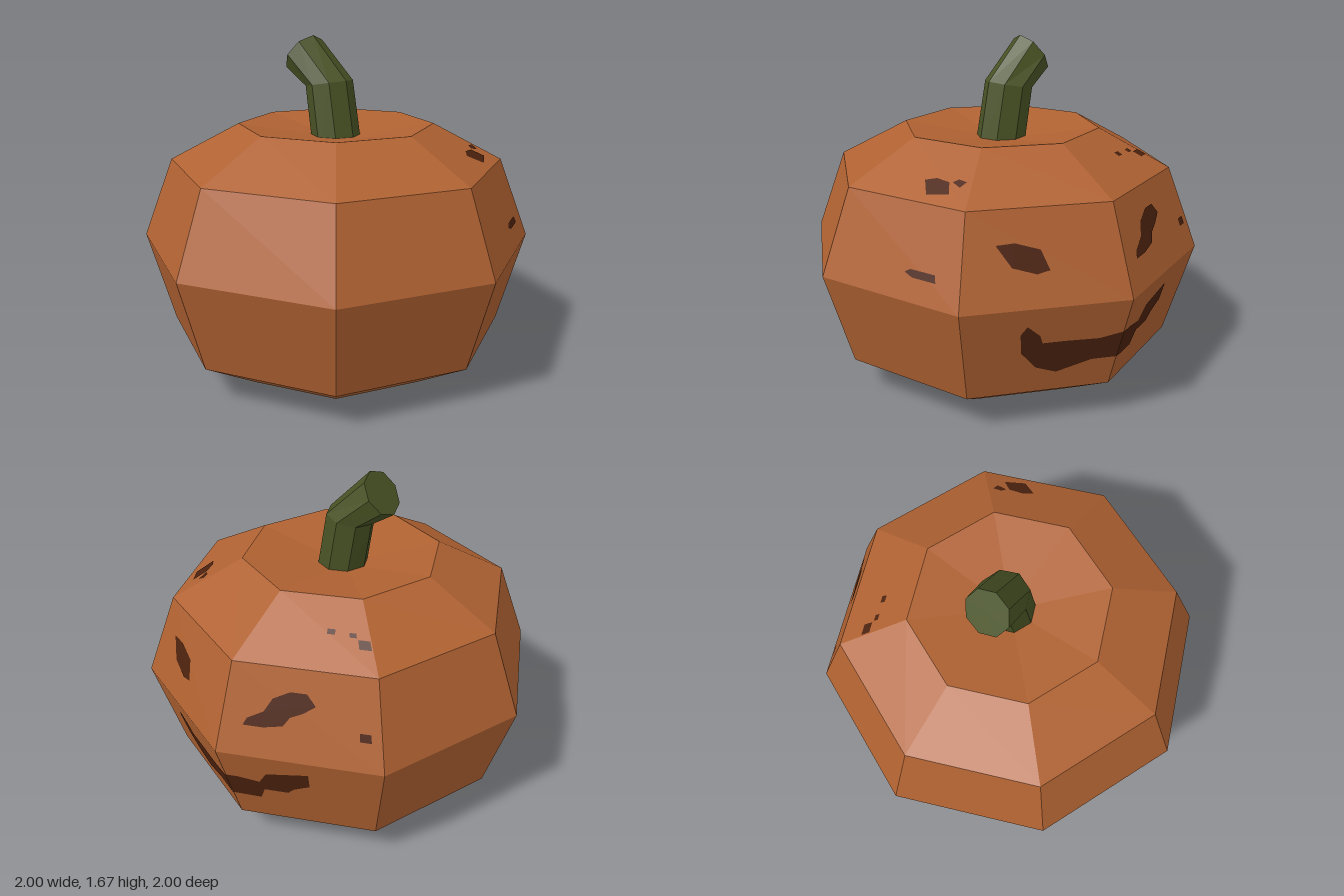
import * as THREE from 'three';

// Body rings from the open bottom to the sunken top: [radius, height]
const RINGS = [[0.565, 0], [0.865, 0.18], [1, 0.65], [0.845, 1.055], [0.495, 1.24], [0, 1.165]];
const SIDES = 8;

const skin = new THREE.MeshStandardMaterial({ color: 0xb06232, side: THREE.DoubleSide });
skin.name = 'orange skin';
const blemish = new THREE.MeshStandardMaterial({ color: 0x4c220e, side: THREE.DoubleSide });
blemish.name = 'dark brown blemish';
const stalk = new THREE.MeshStandardMaterial({ color: 0x485224 });
stalk.name = 'dark green stalk';

// Flat-faced copy of a geometry
function faceted(geometry) {
  const g = geometry.index ? geometry.toNonIndexed() : geometry;
  g.computeVertexNormals();
  return g;
}

function addMesh(group, name, geometry, material) {
  const mesh = new THREE.Mesh(geometry, material);
  mesh.name = name;
  group.add(mesh);
}

function ringPoint(ring, k) {
  const [r, y] = RINGS[ring];
  const a = (k / SIDES) * Math.PI * 2;
  return new THREE.Vector3(r * Math.sin(a), y, r * Math.cos(a));
}

// Flat patch on one body facet; outline is [across, up] in 0..1 of that facet
function patchGeometry(k, band, outline) {
  const bl = ringPoint(band, k), br = ringPoint(band, k + 1);
  const tl = ringPoint(band + 1, k), tr = ringPoint(band + 1, k + 1);
  const normal = br.clone().sub(bl).cross(tl.clone().sub(bl)).normalize();
  const g = new THREE.ShapeGeometry(new THREE.Shape(outline.map(([u, v]) => new THREE.Vector2(u, v))));
  const pos = g.attributes.position;
  for (let i = 0; i < pos.count; i++) {
    const u = pos.getX(i), v = pos.getY(i);
    const p = bl.clone().lerp(br, u).lerp(tl.clone().lerp(tr, u), v).addScaledVector(normal, 0.003);
    pos.setXYZ(i, p.x, p.y, p.z);
  }
  return faceted(g);
}

const box = (u, v, w, h) => [[u - w, v - h], [u + w, v - h], [u + w, v + h], [u - w, v + h]];

// Blemishes: facet, band, outline
const PATCHES = [
  [4, 2, [[0.14, 0.34], [0.16, 0.42], [0.26, 0.51], [0.31, 0.66], [0.42, 0.75], [0.53, 0.75], [0.59, 0.63],
    [0.51, 0.54], [0.43, 0.48], [0.39, 0.38], [0.27, 0.34]]],
  [4, 2, box(0.9, 0.37, 0.035, 0.045)],
  [3, 1, [[0.35, 0.72], [0.39, 0.81], [0.47, 0.69], [0.49, 0.6], [0.63, 0.6], [0.85, 0.59], [1, 0.64],
    [1, 0.34], [0.83, 0.34], [0.6, 0.23], [0.46, 0.31], [0.36, 0.5]]],
  [4, 1, [[0, 0.64], [0.08, 0.64], [0.22, 0.6], [0.28, 0.75], [0.55, 0.83], [0.55, 0.64], [0.44, 0.55],
    [0.4, 0.48], [0.24, 0.48], [0.2, 0.33], [0, 0.34]]],
  [3, 2, [[0.2, 0.65], [0.32, 0.66], [0.48, 0.58], [0.53, 0.37], [0.45, 0.34], [0.3, 0.42]]],
  [2, 3, [[0.56, 0.34], [0.65, 0.12], [0.83, 0.19], [0.79, 0.37], [0.66, 0.4]]],
  [2, 3, [[0.95, 0.42], [0.9, 0.32], [0.82, 0.38], [0.87, 0.44]]],
  [2, 2, [[0.6, 0.29], [0.64, 0.33], [0.82, 0.33], [0.83, 0.25], [0.66, 0.25]]],
  [4, 3, box(0.94, 0.39, 0.05, 0.06)],
  [4, 3, box(0.85, 0.5, 0.03, 0.03)],
  [4, 3, box(0.66, 0.52, 0.035, 0.035)],
];

// Stem rows from tip to base: centre, radius, lean towards -x
const STEM = [
  { c: [-0.205, 1.58, 0.025], r: 0.115, lean: 0.94 },
  { c: [-0.048, 1.44, 0], r: 0.12, lean: 0.17 },
  { c: [0.008, 1.12, 0], r: 0.125, lean: 0 },
];

function stemGeometry() {
  const g = new THREE.CylinderGeometry(1, 1, 2, 8, 2);
  const pos = g.attributes.position;
  for (let i = 0; i < pos.count; i++) {
    const { c, r, lean } = STEM[Math.round(1 - pos.getY(i))];
    const x = pos.getX(i) * r, z = pos.getZ(i) * r;
    pos.setXYZ(i, c[0] + x * Math.cos(lean), c[1] + x * Math.sin(lean), c[2] + z);
  }
  return faceted(g);
}

export function createModel() {
  const model = new THREE.Group();
  model.name = 'pumpkin';

  const profile = RINGS.map(([r, y]) => new THREE.Vector2(r, y));
  addMesh(model, 'body', faceted(new THREE.LatheGeometry(profile, SIDES)), skin);
  addMesh(model, 'stem', stemGeometry(), stalk);

  const blemishes = new THREE.Group();
  blemishes.name = 'blemishes';
  PATCHES.forEach(([k, band, outline], i) =>
    addMesh(blemishes, `blemish${i + 1}`, patchGeometry(k, band, outline), blemish));
  model.add(blemishes);
  return model;
}
